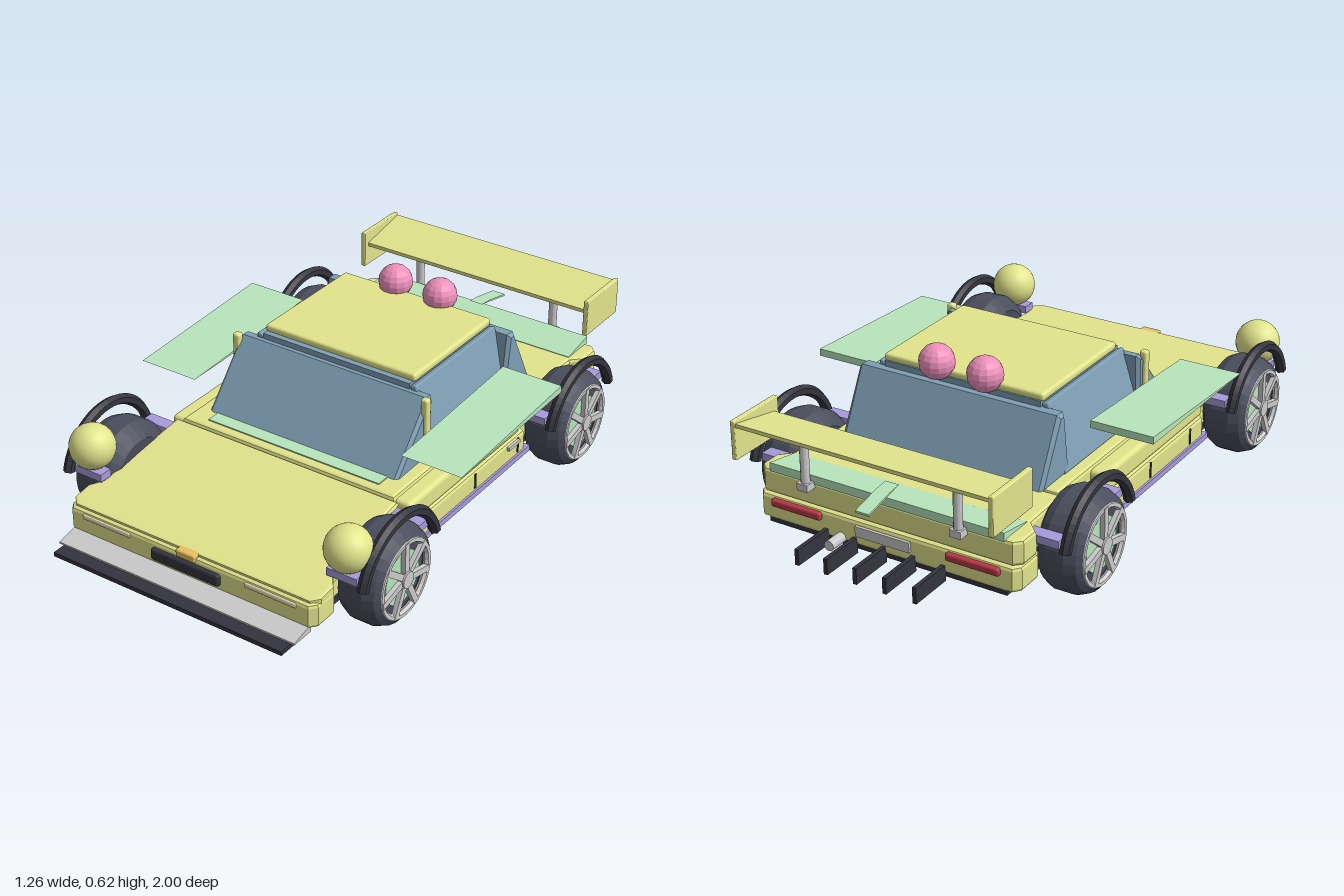
import * as THREE from 'three';
import { RoundedBoxGeometry } from 'three/addons/geometries/RoundedBoxGeometry.js';

const mat = (color, flatShading = true) => new THREE.MeshStandardMaterial({ color, flatShading });
const yellow = mat(0xe2e58c), yellowSmooth = mat(0xe2e58c, false), glass = mat(0x7f9fb5);
const pink = mat(0xee90bb), green = mat(0xb8e6bc), purple = mat(0xa79bdc), dark = mat(0x34343e);
const rubber = mat(0x4a4d5c), grey = mat(0xcccccc), red = mat(0xb83848), cream = mat(0xe8e0b8), amber = mat(0xe8c060);

export function createModel() {
  const model = new THREE.Group();

  function add(name, geo, material, x = 0, y = 0, z = 0, parent = model) {
    const mesh = new THREE.Mesh(geo, material);
    mesh.name = name;
    mesh.position.set(x, y, z);
    parent.add(mesh);
    return mesh;
  }

  // Box given by its limits on each axis
  function box(name, material, [x0, x1], [y0, y1], [z0, z1], round = 0) {
    const size = [x1 - x0, y1 - y0, z1 - z0];
    const geo = round ? new RoundedBoxGeometry(...size, 2, round) : new THREE.BoxGeometry(...size);
    return add(name, geo, material, (x0 + x1) / 2, (y0 + y1) / 2, (z0 + z1) / 2);
  }

  // The same box on both sides
  function pair(name, material, [x0, x1], ys, zs, round) {
    box(name + 'Left', material, [x0, x1], ys, zs, round);
    box(name + 'Right', material, [-x1, -x0], ys, zs, round);
  }

  // Slab from a half outline of [x, z] points, mirrored, bevelled, with a rule for the top height
  function slab(name, material, half, y0, y1, topAt) {
    const b = 0.012;
    const pts = [...half, ...half.map(([x, z]) => [-x, z]).reverse()];
    const shape = new THREE.Shape(pts.map(([x, z]) => new THREE.Vector2(x, -z)));
    const geo = new THREE.ExtrudeGeometry(shape, {
      depth: y1 - y0 - 2 * b, bevelThickness: b, bevelSize: b, bevelOffset: -b, bevelSegments: 2,
    });
    geo.rotateX(-Math.PI / 2).translate(0, y0 + b, 0);
    if (topAt) {
      const p = geo.attributes.position;
      for (let i = 0; i < p.count; i++) {
        const t = (p.getY(i) - y0) / (y1 - y0);
        p.setY(i, y0 + t * (topAt(p.getZ(i)) - y0));
      }
      geo.computeVertexNormals();
    }
    return add(name, geo, material);
  }

  // Side profile of [z, y] points extruded across x
  function across(name, material, profile, width, x = 0, bevel = 0.012) {
    const shape = new THREE.Shape(profile.map(([z, y]) => new THREE.Vector2(z, y)));
    const depth = width - 2 * bevel;
    const geo = new THREE.ExtrudeGeometry(shape, {
      depth, bevelEnabled: bevel > 0, bevelThickness: bevel, bevelSize: bevel, bevelOffset: -bevel, bevelSegments: 1,
    });
    geo.translate(0, 0, -depth / 2).rotateY(-Math.PI / 2);
    return add(name, geo, material, x);
  }

  // Body: lower shell with wheel cut-outs, then hood, cabin base and trunk
  slab('lowerBody', yellow, [
    [0.46, 0.885], [0.48, 0.86], [0.48, 0.78], [0.435, 0.76], [0.435, 0.38], [0.48, 0.35], [0.48, -0.33],
    [0.435, -0.36], [0.435, -0.71], [0.48, -0.73], [0.48, -0.82], [0.46, -0.845],
  ], 0.115, 0.2);
  slab('hood', yellow, [
    [0.455, 0.87], [0.48, 0.845], [0.48, 0.78], [0.45, 0.74], [0.44, 0.375],
  ], 0.19, 0.285, z => 0.285 - Math.max(0, z - 0.37) * 0.15);
  slab('cabinBase', yellow, [[0.42, 0.37], [0.42, -0.51]], 0.19, 0.287);
  slab('trunk', yellow, [
    [0.435, -0.51], [0.44, -0.7], [0.48, -0.74], [0.48, -0.81], [0.455, -0.835],
  ], 0.2, 0.285);
  box('underTray', dark, [-0.44, 0.44], [0.1, 0.12], [-0.84, 0.86]);
  pair('shoulder', yellow, [0.4, 0.475], [0.2, 0.275], [-0.31, 0.36], 0.015);
  pair('sill', purple, [0.44, 0.488], [0.107, 0.128], [-0.36, 0.38]);
  for (const z of [0.26, -0.02, -0.29]) pair('doorSeam', dark, [0.47, 0.483], [0.135, 0.19], [z - 0.004, z + 0.004]);
  pair('doorHandle', grey, [0.475, 0.49], [0.175, 0.188], [-0.29, -0.22]);

  // Cabin: raked front and rear glass, leaning side glass and roof
  across('windscreen', glass, [[0.09, 0.28], [0.29, 0.28], [0.105, 0.5], [0.08, 0.5]], 0.75);
  across('rearWindow', glass, [[-0.535, 0.28], [-0.36, 0.28], [-0.39, 0.5], [-0.425, 0.5]], 0.75);
  box('cabinCore', glass, [-0.29, 0.29], [0.28, 0.52], [-0.4, 0.09]);
  for (const s of [-1, 1]) {
    const pane = box(s > 0 ? 'sideWindowLeft' : 'sideWindowRight', glass,
      [s * 0.335 - 0.012, s * 0.335 + 0.012], [0.28, 0.52], [-0.395, 0.09], 0.006);
    pane.rotation.z = s * 0.28;
  }
  box('roof', yellow, [-0.297, 0.297], [0.515, 0.543], [-0.395, 0.07], 0.01);
  pair('pillar', yellow, [0.36, 0.387], [0.28, 0.51], [0.108, 0.136], 0.008);
  box('cowlStrip', green, [-0.34, 0.34], [0.28, 0.291], [0.285, 0.335]);
  pair('mirror', grey, [0.37, 0.425], [0.31, 0.34], [0.03, 0.1], 0.008);

  // Lamps on the roof and front fenders
  const ball = r => new THREE.SphereGeometry(r, 24, 16);
  for (const s of [-1, 1]) {
    add('roofBeacon', new THREE.SphereGeometry(0.06, 14, 10), pink, s * 0.09, 0.565, -0.4);
    add('headlamp', ball(0.077), yellowSmooth, s * 0.498, 0.335, 0.73);
    // Wedge-shaped side wings
    across('sideWing', green, [[0.315, 0.41], [-0.295, 0.415], [-0.295, 0.44]], 0.222, s * 0.519, 0);
  }

  // Wheels, arches and arch brackets
  const tyre = new THREE.LatheGeometry([
    [0, -0.08], [0.125, -0.085], [0.155, -0.065], [0.17, -0.035], [0.17, 0.03], [0.155, 0.065],
    [0.135, 0.08], [0.13, 0.055], [0, 0.055],
  ].map(p => new THREE.Vector2(...p)), 28).rotateZ(-Math.PI / 2);
  const disc = (r, h) => new THREE.CylinderGeometry(r, r, h, 24).rotateZ(-Math.PI / 2);
  const rim = new THREE.TorusGeometry(0.128, 0.012, 6, 28).rotateY(Math.PI / 2);
  const spokes = 7;
  const span = 2.65;
  const arch = new THREE.TorusGeometry(0.203, 0.019, 6, 24, span)
    .rotateZ((Math.PI - span) / 2).rotateY(Math.PI / 2);
  for (const [end, z] of [['front', 0.57], ['rear', -0.535]]) {
    for (const s of [-1, 1]) {
      const wheel = new THREE.Group();
      wheel.name = end + (s > 0 ? 'WheelLeft' : 'WheelRight');
      wheel.position.set(s * 0.52, 0.17, z);
      wheel.rotation.y = s > 0 ? 0 : Math.PI;
      model.add(wheel);
      add('tyre', tyre, rubber, 0, 0, 0, wheel);
      add('brakeDisc', disc(0.092, 0.012), green, 0.061, 0, 0, wheel);
      add('rim', rim, grey, 0.072, 0, 0, wheel);
      add('hub', disc(0.028, 0.03), grey, 0.075, 0, 0, wheel);
      for (let i = 0; i < spokes; i++) {
        const spoke = new THREE.BoxGeometry(0.016, 0.11, 0.022).translate(0, 0.075, 0);
        add('spoke', spoke, grey, 0.076, 0, 0, wheel).rotation.x = (i / spokes) * Math.PI * 2;
      }
      add('wheelArch', arch, dark, s * 0.575, 0.18, z);
    }
    for (const d of [-0.17, 0.17]) {
      pair('archBracket', purple, [0.44, 0.55], [0.235, 0.262], [z + d - 0.024, z + d + 0.024]);
    }
  }

  // Nose details and splitter
  box('grille', dark, [-0.132, 0.132], [0.138, 0.18], [0.87, 0.9], 0.008);
  box('badgePlate', amber, [-0.037, 0.037], [0.184, 0.211], [0.86, 0.892], 0.006);
  pair('markerLight', cream, [0.222, 0.417], [0.173, 0.192], [0.865, 0.889], 0.006);
  across('frontBlade', grey, [[0.87, 0.1], [0.955, 0.1], [0.955, 0.106], [0.87, 0.125]], 0.92, 0, 0);
  box('splitter', dark, [-0.445, 0.445], [0.083, 0.098], [0.85, 1]);

  // Rear lamps, plate, exhaust and diffuser fins
  pair('tailLight', red, [0.23, 0.42], [0.165, 0.192], [-0.86, -0.83], 0.008);
  box('rearPlate', grey, [-0.1, 0.1], [0.15, 0.185], [-0.855, -0.83]);
  add('exhaust', new THREE.CylinderGeometry(0.018, 0.018, 0.08, 12).rotateX(Math.PI / 2), grey, 0.16, 0.125, -0.87);
  for (let i = -2; i <= 2; i++) {
    box('diffuserFin', dark, [i * 0.108 - 0.007, i * 0.108 + 0.007], [0.085, 0.14], [-1, -0.84]);
  }

  // Tail lip, centre fin and rear wing
  across('tailLip', green, [[-0.71, 0.28], [-0.71, 0.287], [-0.84, 0.31], [-0.84, 0.28]], 0.86, 0, 0);
  across('centreFin', green, [[-0.79, 0.335], [-0.95, 0.3], [-0.95, 0.307], [-0.84, 0.33]], 0.05, 0, 0);
  across('wingBlade', yellow, [[-0.77, 0.44], [-0.77, 0.453], [-0.963, 0.49], [-0.963, 0.477]], 0.93, 0, 0);
  pair('wingEndplate', yellow, [0.455, 0.473], [0.365, 0.498], [-0.966, -0.748], 0.004);
  for (const s of [-1, 1]) {
    add('wingPost', new THREE.CylinderGeometry(0.015, 0.015, 0.19, 12), grey, s * 0.28, 0.365, -0.855);
    box('postFoot', grey, [s * 0.28 - 0.02, s * 0.28 + 0.02], [0.265, 0.29], [-0.875, -0.82]);
  }
  return model;
}
